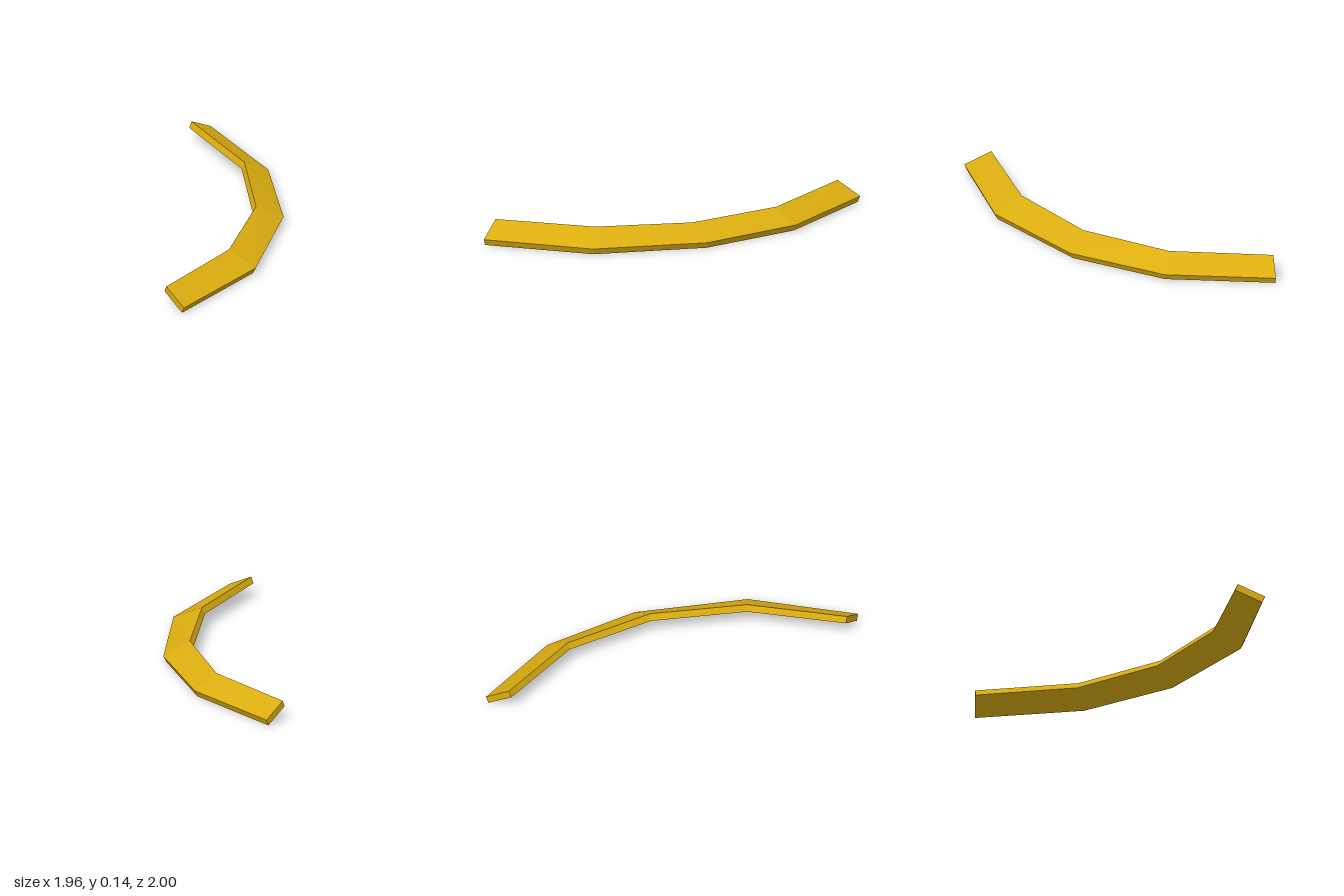
import * as THREE from 'three';

// Stations along the curve: outer edge and inner edge in plan (x, z)
const stations = [
  { outer: [-0.98, 1.0], inner: [-0.98, 0.81], drop: [0, -0.02] },
  { outer: [-0.2, 0.86], inner: [-0.28, 0.665], drop: [-0.009, -0.02] },
  { outer: [0.46, 0.39], inner: [0.295, 0.287], drop: [-0.015, -0.02] },
  { outer: [0.85, -0.23], inner: [0.675, -0.28], drop: [-0.021, -0.007] },
  { outer: [0.98, -1.0], inner: [0.805, -1.0], drop: [-0.02, 0] },
];
const OUTER_Y = 0.045, INNER_Y = 0.14, THICK = 0.045;

// Tilted plank section: outer top, inner top, inner bottom, outer bottom
function section({ outer: [ox, oz], inner: [ix, iz], drop: [dx, dz] }) {
  return [
    [ox, OUTER_Y, oz],
    [ix, INNER_Y, iz],
    [ix + dx, INNER_Y - THICK, iz + dz],
    [ox + dx, OUTER_Y - THICK, oz + dz],
  ];
}

function sweep(rings) {
  const pos = [];
  const quad = (a, b, c, d) => pos.push(...a, ...b, ...c, ...a, ...c, ...d);
  for (let s = 0; s < rings.length - 1; s++) {
    const A = rings[s], B = rings[s + 1];
    for (let i = 0; i < 4; i++) {
      const j = (i + 1) % 4;
      quad(A[i], B[i], B[j], A[j]);
    }
  }
  // End caps
  quad(...rings[0]);
  quad(...[...rings[rings.length - 1]].reverse());
  const g = new THREE.BufferGeometry();
  g.setAttribute('position', new THREE.Float32BufferAttribute(pos, 3));
  g.computeVertexNormals();
  return g;
}

export function createModel() {
  const group = new THREE.Group();
  group.name = 'curvedTrim';
  const gold = new THREE.MeshStandardMaterial({ color: 0xdbad10 });
  gold.name = 'gold';
  const strip = new THREE.Mesh(sweep(stations.map(section)), gold);
  strip.name = 'slopedStrip';
  group.add(strip);
  return group;
}
